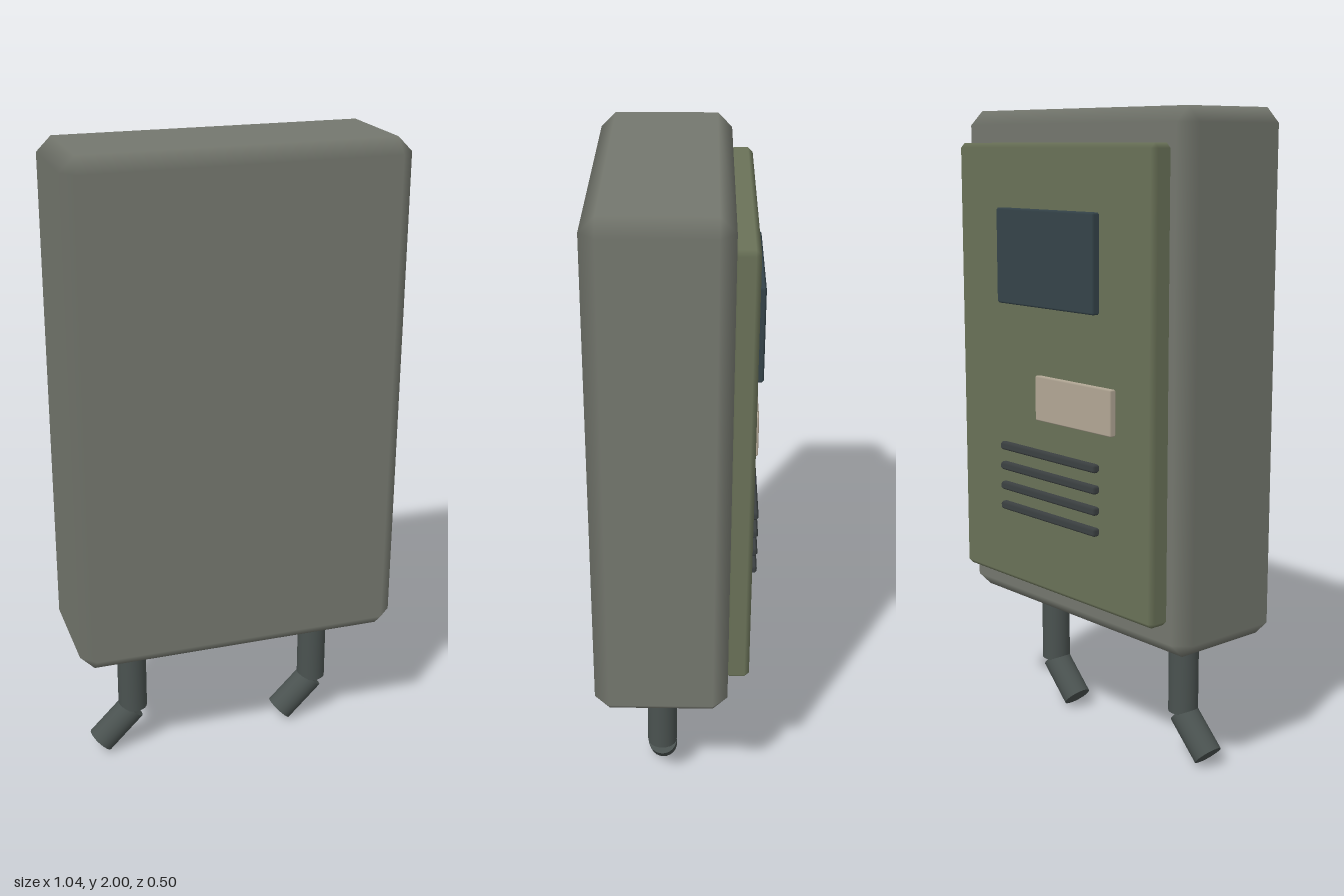
import * as THREE from 'three';

const mat = (color) => new THREE.MeshStandardMaterial({ color });
const bodyMat = mat(0x74776e), panelMat = mat(0x6a7258), screenMat = mat(0x35444a);
const labelMat = mat(0xb3a896), ventMat = mat(0x3c4142), hookMat = mat(0x4a5250);

// Box with one chamfer per edge; the six faces keep flat normals, the chamfers blend between them
function chamferBox(w, h, d, bevel) {
  const half = [w / 2, h / 2, d / 2];
  const pos = [], nor = [], index = [];
  const signs = [-1, 1];
  // corner bits: x = 1, y = 2, z = 4; three vertices per corner, one for each face direction
  for (let c = 0; c < 8; c++) {
    for (let axis = 0; axis < 3; axis++) {
      for (let k = 0; k < 3; k++) {
        const s = signs[(c >> k) & 1];
        pos.push(s * (half[k] - (k === axis ? 0 : bevel)));
        nor.push(k === axis ? s : 0);
      }
    }
  }
  const point = (i) => new THREE.Vector3().fromArray(pos, i * 3);
  const normal = (i) => new THREE.Vector3().fromArray(nor, i * 3);
  const tri = (a, b, c) => {
    const n = point(b).sub(point(a)).cross(point(c).sub(point(a)));
    const out = normal(a).add(normal(b)).add(normal(c));
    index.push(...(n.dot(out) > 0 ? [a, b, c] : [a, c, b]));
  };
  const quad = (a, b, c, e) => { tri(a, b, c); tri(a, c, e); };
  for (let axis = 0; axis < 3; axis++) {
    const u = (axis + 1) % 3, v = (axis + 2) % 3;
    const U = 1 << u, V = 1 << v, A = 1 << axis;
    // two faces across this axis
    for (const s of [0, A]) {
      quad(s * 3 + axis, (s + U) * 3 + axis, (s + U + V) * 3 + axis, (s + V) * 3 + axis);
    }
    // four chamfers along this axis
    for (const c of [0, U, V, U + V]) {
      quad(c * 3 + u, c * 3 + v, (c + A) * 3 + v, (c + A) * 3 + u);
    }
  }
  // corner triangles
  for (let c = 0; c < 8; c++) tri(c * 3, c * 3 + 1, c * 3 + 2);
  const geo = new THREE.BufferGeometry();
  geo.setAttribute('position', new THREE.Float32BufferAttribute(pos, 3));
  geo.setAttribute('normal', new THREE.Float32BufferAttribute(nor, 3));
  geo.setIndex(index);
  return geo;
}

// Chamfered block given by its extents
function block(name, [x0, x1], [y0, y1], [z0, z1], bevel, material) {
  const mesh = new THREE.Mesh(chamferBox(x1 - x0, y1 - y0, z1 - z0, bevel), material);
  mesh.position.set((x0 + x1) / 2, (y0 + y1) / 2, (z0 + z1) / 2);
  mesh.name = name;
  return mesh;
}

// Capped rod between two points
function rod(name, from, to, radius) {
  const dir = to.clone().sub(from);
  const mesh = new THREE.Mesh(new THREE.CylinderGeometry(radius, radius, dir.length(), 24), hookMat);
  mesh.position.copy(from).add(to).multiplyScalar(0.5);
  mesh.quaternion.setFromUnitVectors(new THREE.Vector3(0, 1, 0), dir.normalize());
  mesh.name = name;
  return mesh;
}

export function createModel() {
  const model = new THREE.Group();
  model.name = 'wallUnit';

  // Housing and the raised panel on its back
  model.add(block('housing', [-0.518, 0.518], [0.41, 2], [-0.16, 0.248], 0.045, bodyMat));
  model.add(block('panel', [-0.455, 0.455], [0.512, 1.9], [-0.225, -0.15], 0.015, panelMat));

  // Screen and label plate
  model.add(block('screen', [-0.23, 0.23], [1.412, 1.705], [-0.251, -0.222], 0.006, screenMat));
  model.add(block('labelPlate', [-0.305, 0.045], [1.065, 1.203], [-0.25, -0.228], 0.004, labelMat));

  // Vent bars
  const vents = new THREE.Group();
  vents.name = 'ventBars';
  for (let i = 0; i < 4; i++) {
    const y = 0.956 - i * 0.065;
    vents.add(block('ventBar', [-0.23, 0.23], [y - 0.0125, y + 0.0125], [-0.249, -0.222], 0.007, ventMat));
  }
  model.add(vents);

  // Two bent pipes below the housing, both turned the same way
  for (const [name, x] of [['rightPipe', -0.317], ['leftPipe', 0.313]]) {
    const pipe = new THREE.Group();
    pipe.name = name;
    const z = 0.046;
    pipe.add(rod('pipeStem', new THREE.Vector3(x, 0.15, z), new THREE.Vector3(x, 0.45, z), 0.047));
    pipe.add(rod('pipeEnd', new THREE.Vector3(x - 0.112, 0.033, z), new THREE.Vector3(x - 0.002, 0.143, z), 0.046));
    model.add(pipe);
  }
  return model;
}
